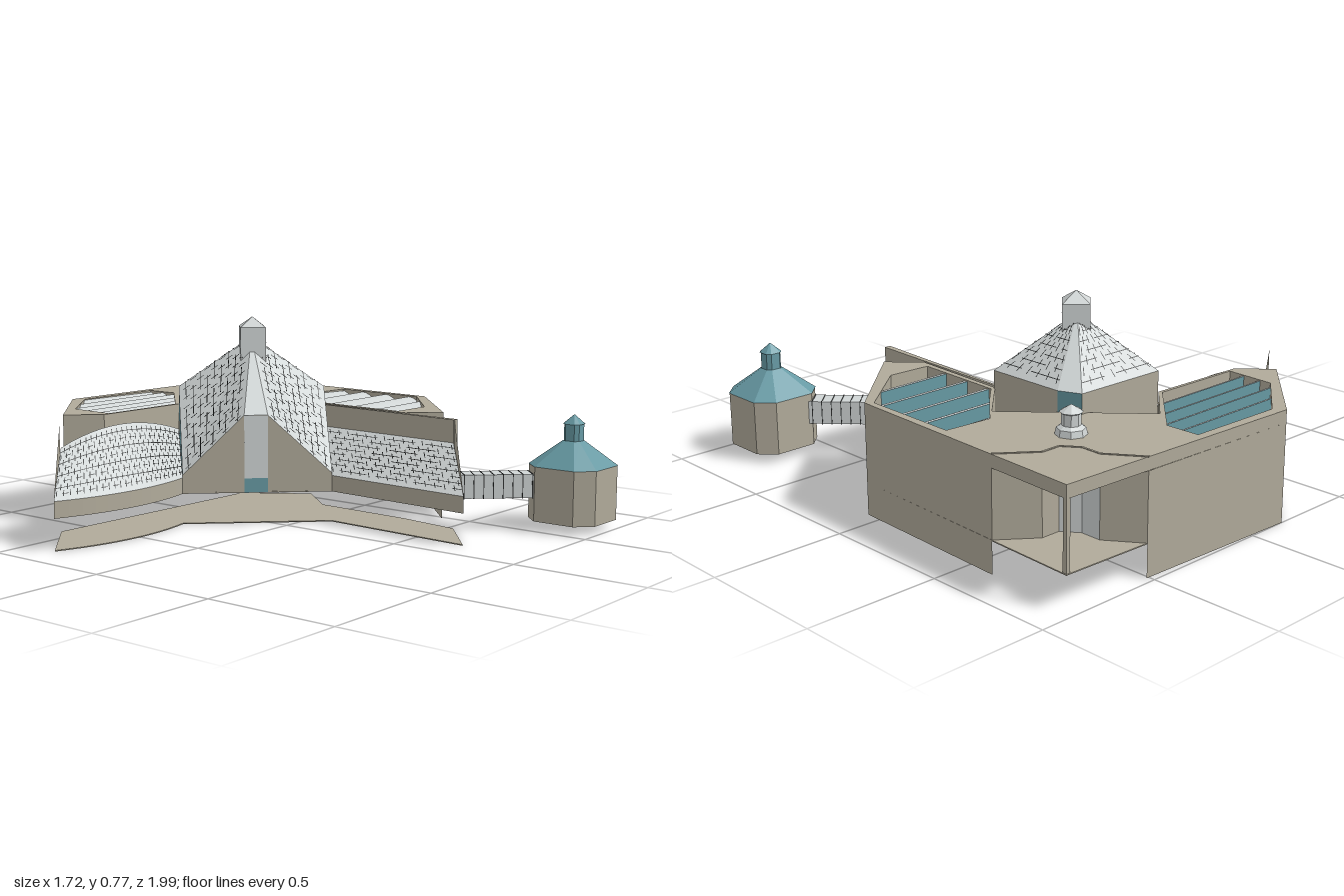
import * as THREE from 'three';

const mat = (name, color) => {
  const m = new THREE.MeshStandardMaterial({ color, side: THREE.DoubleSide });
  m.name = name;
  return m;
};

export function createModel() {
  const group = new THREE.Group();
  const stone = mat('stone', 0xb0aa9a);
  const tile = mat('pale tile', 0xd0d5d5);
  const glass = mat('teal', 0x679aa4);
  const seam = mat('dark seam', 0x303232);
  const V = (x, y, z) => new THREE.Vector3(x, y, z);

  const add = (name, geo, m) => {
    const mesh = new THREE.Mesh(geo, m);
    mesh.name = name;
    group.add(mesh);
    return mesh;
  };
  // Flat convex polygons, each a list of points, fanned into one mesh
  const faces = (name, polys, m) => {
    const pos = [];
    for (const p of polys)
      for (let i = 1; i < p.length - 1; i++)
        for (const v of [p[0], p[i], p[i + 1]]) pos.push(v.x, v.y, v.z);
    const g = new THREE.BufferGeometry();
    g.setAttribute('position', new THREE.Float32BufferAttribute(pos, 3));
    g.computeVertexNormals();
    return add(name, g, m);
  };
  // Upright wall along plan points [x, z, optional top height]
  const wall = (name, pts, y0, y1, m, closed = false) => {
    const loop = closed ? [...pts, pts[0]] : pts;
    return faces(name, loop.slice(1).map((b, i) => {
      const a = loop[i];
      return [V(a[0], y0, a[1]), V(b[0], y0, b[1]), V(b[0], b[2] ?? y1, b[1]), V(a[0], a[2] ?? y1, a[1])];
    }), m);
  };
  // Horizontal slab from a plan outline with optional holes
  const slab = (name, pts, y, h, m, holes = []) => {
    const plan = (a) => a.map(([x, z]) => new THREE.Vector2(x, -z));
    const s = new THREE.Shape(plan(pts));
    for (const hole of holes) s.holes.push(new THREE.Path(plan(hole)));
    const g = new THREE.ExtrudeGeometry(s, { depth: h, bevelEnabled: false });
    g.rotateX(-Math.PI / 2).translate(0, y, 0);
    return add(name, g, m);
  };
  // Staggered tile joints over a four-cornered face
  const seams = (name, a, b, c, d, rows, cols) => {
    const at = (s, t) => a.clone().lerp(b, s).lerp(d.clone().lerp(c, s), t);
    const n = c.clone().sub(a).cross(d.clone().sub(b)).normalize();
    if (n.y < 0) n.negate();
    const strips = [];
    const strip = (p, q) => {
      const w = q.clone().sub(p).cross(n).setLength(0.0016);
      const off = [w, w.clone().negate()];
      strips.push([[p, 0], [q, 0], [q, 1], [p, 1]].map(([v, k]) => v.clone().add(off[k]).addScaledVector(n, 0.003)));
    };
    for (let r = 1; r <= rows; r++)
      for (let k = 0; k < cols; k++) {
        const shift = (r % 2) * 0.5;
        if ((k + r * 2) % 4) strip(at(k / cols, r / (rows + 1)), at((k + 1) / cols, r / (rows + 1)));
        const s = (k + 0.25 + shift) / cols;
        strip(at(s, (r - 0.5) / (rows + 1)), at(s, (r + 0.4) / (rows + 1)));
      }
    faces(name, strips, seam);
  };

  // Main block with two sawtooth skylights
  const step = [[0.51, -0.975], [0.6, -0.85], [0.6, -0.77], [0.645, -0.71], [0.72, -0.71], [0.847, -0.61]];
  const corner = [0.86, -0.96];
  const rest = [[0.825, 0.063], [0.48, 0.386], [0.375, 0.28], [0.39, -0.13], [0.57, -0.31], [0.18, -0.725],
    [0.01, -0.566], [-0.39, -0.58], [-0.497, -0.693], [-0.16, -1]];
  const outline = [corner, ...rest];
  const skylights = [
    [[-0.13, -0.96], [0.245, -0.95], [0.25, -0.82], [0.005, -0.58], [-0.355, -0.59], [-0.35, -0.78]],
    [[0.625, -0.36], [0.805, -0.345], [0.8, 0.04], [0.565, 0.24], [0.4, 0.23], [0.41, -0.13], [0.49, -0.21]],
  ];
  slab('blockRoof', outline, 0.37, 0.047, stone, skylights);
  slab('blockFloor', outline, 0.118, 0.004, stone);
  wall('blockWalls', [step[5], ...rest, step[0]], 0.12, 0.37, stone);
  wall('lowerEastWall', [step[5], rest[0], rest[1]], 0, 0.12, stone);
  wall('lowerBackWall', [step[0], rest[9], [-0.385, -0.795]], 0, 0.12, stone);
  wall('terraceWall', step.slice(0, 2), 0.12, 0.37, stone);
  wall('terraceWindow', step.slice(1, 4), 0.12, 0.37, tile);
  wall('terraceWall', step.slice(3), 0.12, 0.37, stone);
  add('terracePost', new THREE.BoxGeometry(0.016, 0.25, 0.016).translate(0.85, 0.245, -0.95), stone);
  // Shallow step in the roof above the terrace
  for (let i = 0; i < 5; i++) {
    const [a, b] = [step[i], step[i + 1]];
    const g = new THREE.BoxGeometry(Math.hypot(b[0] - a[0], b[1] - a[1]), 0.003, 0.008);
    g.rotateY(-Math.atan2(b[1] - a[1], b[0] - a[0])).translate((a[0] + b[0]) / 2, 0.418, (a[1] + b[1]) / 2);
    add('roofStep', g, stone);
  }

  // Sawtooth skylights: curved tile shells with glass facing the back
  for (const poly of skylights) {
    wall('skylightPit', poly, 0.325, 0.37, stone, true);
    const zs = poly.map((p) => p[1]);
    const zMin = Math.min(...zs), zMax = Math.max(...zs);
    const span = (z) => {
      const xs = [];
      poly.forEach((a, i) => {
        const b = poly[(i + 1) % poly.length];
        if ((a[1] - z) * (b[1] - z) <= 0 && a[1] !== b[1])
          xs.push(a[0] + ((b[0] - a[0]) * (z - a[1])) / (b[1] - a[1]));
      });
      return [Math.min(...xs), Math.max(...xs)];
    };
    for (let k = 0; k < 5; k++) {
      const pos = [], idx = [], n = 6;
      for (let i = 0; i <= n; i++) {
        const z = zMin + 0.001 + ((zMax - zMin - 0.002) * (k + i / n)) / 5;
        const y = 0.325 + 0.088 * Math.cos((i / n) * Math.PI / 2);
        const [x0, x1] = span(z);
        pos.push(x0, y, z, x1, y, z);
        const j = 2 * i;
        if (i < n) idx.push(j, j + 2, j + 1, j + 1, j + 2, j + 3);
        if (i === 0) wall('skylightGlass', [[x0, z], [x1, z]], 0.325, 0.413, glass);
      }
      const g = new THREE.BufferGeometry();
      g.setAttribute('position', new THREE.Float32BufferAttribute(pos, 3));
      g.setIndex(idx);
      g.computeVertexNormals();
      add('skylightShell', g, tile);
    }
  }

  // Roof vent
  const lathe = (name, pts, sides, m) => {
    const g = new THREE.LatheGeometry(pts.map((p) => new THREE.Vector2(...p)), sides).toNonIndexed();
    g.computeVertexNormals();
    return add(name, g, m);
  };
  lathe('roofVent', [[0.055, 0.417], [0.05, 0.44], [0.034, 0.45], [0.034, 0.49], [0.041, 0.495], [0, 0.52]], 8, tile)
    .position.set(0.535, 0, -0.655);

  // Tower roof: hipped, with two faces running down to low points
  const A = V(0.175, 0.69, -0.325), F1 = V(-0.07, 0.417, -0.152), F2 = V(-0.006, 0.417, -0.088);
  const W = V(-0.235, 0.19, -0.32), S = V(0.165, 0.19, 0.09), N = V(0, 0.49, -0.555), E = V(0.4, 0.485, -0.135);
  const B1 = V(0.375, 0.49, -0.547), B2 = V(0.41, 0.49, -0.465);
  faces('towerRoof', [[A, F2, S], [A, S, E], [A, W, F1], [A, N, W], [A, F1, F2], [A, B1, N], [A, B2, B1], [A, E, B2]], tile);
  seams('towerRoofSeams', A, F2, S, E, 9, 9);
  seams('towerRoofSeams', A, F1, W, N, 9, 9);
  seams('towerRoofSeams', A, A, N, B1, 7, 6);
  seams('towerRoofSeams', A, A, B2, E, 7, 6);
  const plan = (...ps) => ps.map((p) => [p.x, p.z, p.y]);
  wall('towerGable', plan(W, F1, F2, S), 0.12, 0, stone);
  wall('towerGlassWall', plan(S, E), 0.12, 0, glass);
  wall('towerGlassWall', plan(N, W), 0.12, 0, glass);
  wall('towerGlassWall', plan(B2, B1), 0.12, 0, glass);
  wall('towerStoneWall', plan(E, B2), 0.12, 0, stone);
  wall('towerStoneWall', plan(B1, N), 0.12, 0, stone);
  // Tiled entrance strip and door at the front corner
  const out = (p, y) => V(p.x - 0.004, y, p.z + 0.004);
  faces('entranceStrip', [[out(F1, 0.175), out(F2, 0.175), out(F2, 0.417), out(F1, 0.417)]], tile);
  seams('entranceSeams', out(F1, 0.417), out(F2, 0.417), out(F2, 0.175), out(F1, 0.175), 6, 2);
  faces('entranceDoor', [[out(F1, 0.12), out(F2, 0.12), out(F2, 0.175), out(F1, 0.175)]], glass);

  // Chimney set corner-on, with a pointed cap
  lathe('chimney', [[0.07, 0.54], [0.07, 0.73], [0, 0.77]], 4, tile).position.set(0.17, 0, -0.315);
  for (const s of [-1, 1])
    seams('chimneySeams', V(0.17 + s * 0.07, 0.73, -0.315), V(0.17, 0.73, -0.245), V(0.17, 0.58, -0.245), V(0.17 + s * 0.07, 0.58, -0.315), 4, 3);

  // Curved wing
  const low = [], high = [], SEG = 12;
  for (let i = 0; i <= SEG; i++) {
    const t = i / SEG, bulge = 4 * t * (1 - t);
    low.push(V(-0.86 + 0.625 * t, 0.18, -0.355 + 0.035 * t + 0.053 * bulge));
    high.push(V(-0.67 + 0.61 * t, 0.33 + 0.055 * bulge, -0.52 + 0.02 * t));
  }
  const ruled = (a, b) => a.slice(1).map((p, i) => [a[i], p, b[i + 1], b[i]]);
  faces('curvedWingRoof', ruled(low, high), tile);
  for (let i = 0; i < SEG; i++)
    seams('curvedWingSeams', high[i], high[i + 1], low[i + 1], low[i], 8, 2);
  wall('curvedWingFront', plan(...low), 0.12, 0, stone);
  wall('curvedWingBack', plan(...high), 0.12, 0, stone);
  wall('curvedWingFin', [[-0.86, -0.355, 0.18], [-0.67, -0.525, 0.417]], 0.12, 0, stone);
  const arc = low.map((p) => [p.x, p.z]);
  slab('curvedWingDeck', [...arc, [-0.05, -0.51], [0, -0.555], [-0.63, -0.57]], 0.118, 0.004, stone);

  // Straight wing
  const tip = V(0.13, 0.18, 0.71), S2 = V(0.165, 0.18, 0.09), hi0 = V(0.365, 0.33, -0.11), hi1 = V(0.335, 0.33, 0.53);
  faces('straightWingRoof', [[S2, tip, hi1, hi0]], tile);
  seams('straightWingSeams', hi0, hi1, tip, S2, 8, 14);
  wall('straightWingFront', plan(S2, tip), 0.12, 0, stone);
  wall('straightWingFin', [[0.13, 0.71, 0.18], [0.34, 0.53, 0.417], [0.36, 0.53, 0.417], [0.375, -0.11, 0.417]], 0.12, 0, stone);
  wall('straightWingBack', [[0.335, 0.53], [0.365, -0.11]], 0.12, 0.417, stone);
  faces('straightWingCoping', [[V(0.335, 0.417, 0.53), V(0.36, 0.417, 0.53), V(0.375, 0.417, -0.11), V(0.365, 0.417, -0.11)]], stone);
  slab('straightWingDeck', [[0.165, 0.09], [0.13, 0.71], [0.36, 0.53], [0.38, -0.11]], 0.118, 0.004, stone);
  slab('towerDeck', plan(W, S, E, B2, B1, N), 0.118, 0.004, stone);

  // Patio at ground level
  slab('patio', [...arc, [0.165, 0.09], [0.13, 0.71], [0.34, 0.53], [0.375, 0.28], [0.39, -0.13], [0.54, -0.31],
    [0.375, -0.547], [0, -0.555], [-0.63, -0.57]], 0, 0.004, stone);

  // Bridge to the turret
  const bridge = new THREE.Group();
  bridge.name = 'bridge';
  const deck = new THREE.Mesh(new THREE.BoxGeometry(0.34, 0.09, 0.085), tile);
  deck.name = 'bridgeBody';
  bridge.add(deck);
  for (let i = -4; i <= 4; i++) {
    const rib = new THREE.Mesh(new THREE.BoxGeometry(0.003, 0.093, 0.088), seam);
    rib.name = 'bridgeRib';
    rib.position.x = i * 0.037;
    bridge.add(rib);
  }
  bridge.position.set(0.46, 0.165, 0.62);
  bridge.rotation.y = -0.81;
  group.add(bridge);

  // Turret: chamfered square body, teal roof and lantern
  const cx = 0.668, cz = 0.85;
  const ring = (r, y) => {
    const c = r * 0.58;
    return [[c, r], [r, c], [r, -c], [c, -r], [-c, -r], [-r, -c], [-r, c], [-c, r]].map(([x, z]) => V(cx + x, y, cz + z));
  };
  const shell = (name, r0, y0, r1, y1, m) => {
    const a = ring(r0, y0), b = ring(r1, y1);
    faces(name, ruled([...a, a[0]], [...b, b[0]]), m);
  };
  shell('turretBody', 0.142, 0.032, 0.142, 0.24, stone);
  faces('turretBase', [ring(0.142, 0.032)], stone);
  shell('turretRoof', 0.144, 0.24, 0.034, 0.332, glass);
  shell('turretLantern', 0.032, 0.33, 0.032, 0.395, glass);
  shell('turretCap', 0.036, 0.395, 0.001, 0.43, glass);

  return group;
}
